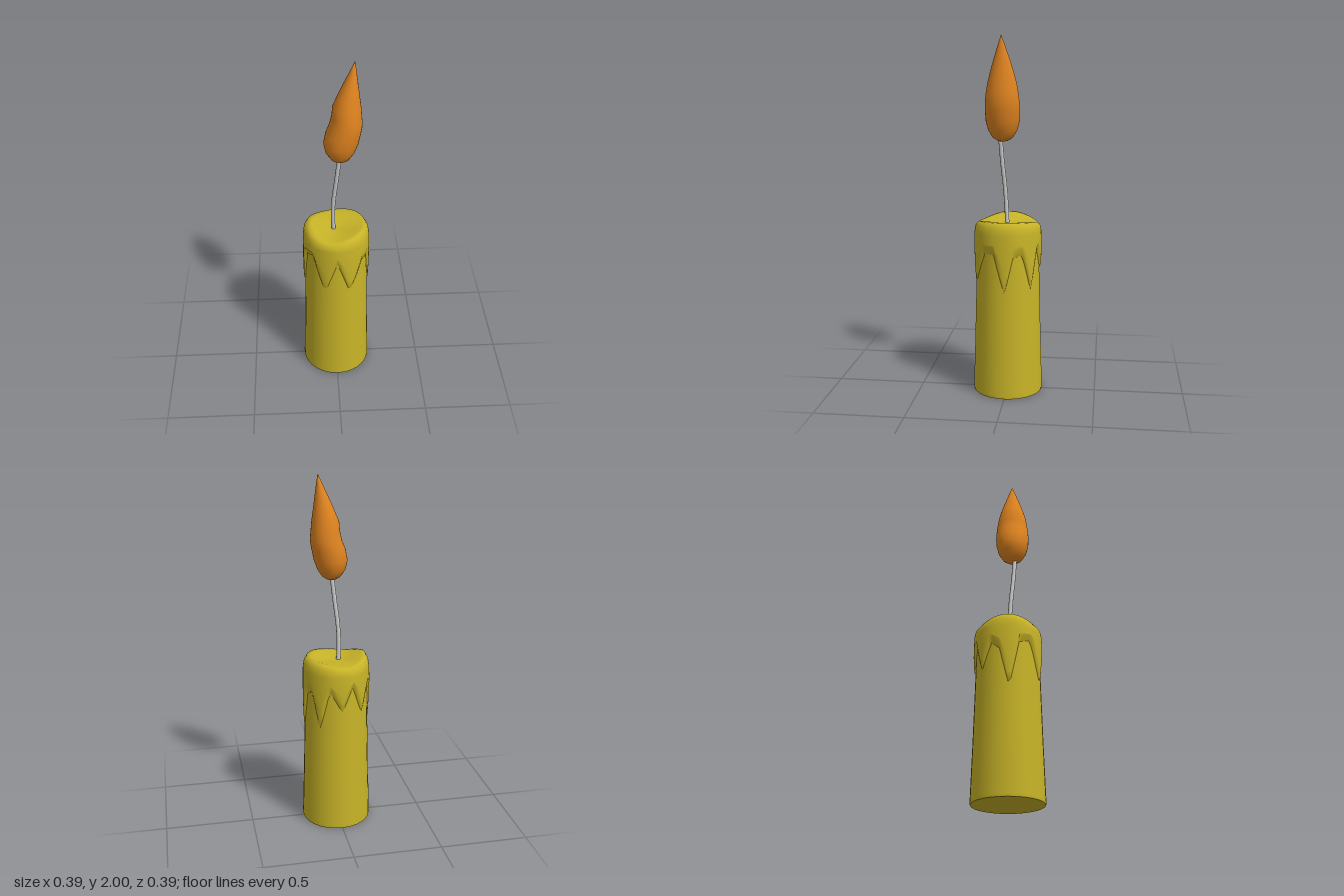
import * as THREE from 'three';

const wax = new THREE.MeshStandardMaterial({ color: 0xc8b428, side: THREE.DoubleSide });
const wickMaterial = new THREE.MeshStandardMaterial({ color: 0xcccccc });
const fire = new THREE.MeshStandardMaterial({ color: 0xe08420 });

// Smooth closed surface through rings: point(row, angle) gives each vertex.
function ringSurface(rows, segments, point) {
  const positions = [], index = [];
  for (let r = 0; r < rows; r++) {
    for (let s = 0; s < segments; s++) positions.push(...point(r, (s / segments) * Math.PI * 2));
  }
  for (let r = 0; r < rows - 1; r++) {
    for (let s = 0; s < segments; s++) {
      const a = r * segments + s, b = r * segments + ((s + 1) % segments);
      index.push(a, b, b + segments, a, b + segments, a + segments);
    }
  }
  const geometry = new THREE.BufferGeometry();
  geometry.setAttribute('position', new THREE.Float32BufferAttribute(positions, 3));
  geometry.setIndex(index);
  geometry.computeVertexNormals();
  return geometry;
}

function addMesh(group, name, geometry, material) {
  const mesh = new THREE.Mesh(geometry, material);
  mesh.name = name;
  group.add(mesh);
}

const bodyRadius = (y) => 0.195 - 0.025 * y;

// Lower edge of the melted wax: [angle in degrees from the front, height]
const DRIPS = [
  [0, 0.84], [22, 0.64], [50, 0.82], [70, 0.82], [90, 0.6], [105, 0.8], [122, 0.82], [140, 0.62],
  [158, 0.84], [180, 0.72], [200, 0.86], [220, 0.7], [240, 0.84], [255, 0.8], [272, 0.58],
  [290, 0.84], [312, 0.86], [338, 0.64], [360, 0.84],
];

function dripEdge(angle) {
  const d = THREE.MathUtils.radToDeg(angle);
  const i = Math.max(1, DRIPS.findIndex(([a]) => a >= d));
  const [a0, y0] = DRIPS[i - 1], [a1, y1] = DRIPS[i];
  return y0 + ((y1 - y0) * (d - a0)) / (a1 - a0);
}

export function createModel() {
  const model = new THREE.Group();
  model.name = 'candle';

  // Tapered candle body and its flat base
  const profile = [[0.195, 0], [0.197, 0.015], [0.188, 0.3], [0.18, 0.6], [0.172, 0.92]];
  addMesh(model, 'candleBody',
    new THREE.LatheGeometry(profile.map(([r, y]) => new THREE.Vector2(r, y)), 28), wax);
  const base = new THREE.CircleGeometry(0.195, 28);
  base.rotateX(Math.PI / 2);
  addMesh(model, 'base', base, wax);

  // Melted wax: dished top, uneven rounded rim, and drips down the sides
  const melted = ringSurface(10, 72, (row, angle) => {
    const edge = dripEdge(angle);
    const rim = 0.012 * Math.cos(2 * angle + Math.PI) + 0.006 * Math.sin(3 * angle);
    const mid = 0.5 * (edge + 0.93);
    const [r, y] = [
      [bodyRadius(edge) - 0.008, edge],
      [bodyRadius(edge) + 0.005, edge + 0.005],
      [0.188, edge + 0.05],
      [0.189, mid],
      [0.187, 0.93],
      [0.181, 0.965 + rim * 0.5],
      [0.165, 0.99 + rim],
      [0.14, 0.99 + rim],
      [0.07, 0.974],
      [0.001, 0.97],
    ][row];
    return [r * Math.sin(angle), y, r * Math.cos(angle)];
  });
  addMesh(model, 'meltedWax', melted, wax);

  // Bent wick
  const wickPath = new THREE.CatmullRomCurve3([
    [-0.013, 0.95, 0.005], [-0.018, 1.05, 0.01], [-0.015, 1.16, 0.017],
    [0, 1.3, 0.03], [0.018, 1.47, 0.042],
  ].map((p) => new THREE.Vector3(...p)));
  addMesh(model, 'wick', new THREE.TubeGeometry(wickPath, 24, 0.012, 10), wickMaterial);

  // Flame cross-sections: [height, centre x, half width x, half depth z]
  const sections = [
    [1.428, 0.022, 0.001, 0.001], [1.433, 0.02, 0.028, 0.028], [1.45, 0.02, 0.052, 0.055],
    [1.49, 0.02, 0.078, 0.08], [1.54, 0.024, 0.092, 0.093], [1.6, 0.036, 0.092, 0.096],
    [1.65, 0.05, 0.086, 0.094], [1.7, 0.053, 0.078, 0.088], [1.75, 0.053, 0.074, 0.079],
    [1.8, 0.06, 0.06, 0.066], [1.86, 0.069, 0.043, 0.048], [1.93, 0.081, 0.022, 0.025],
    [2, 0.092, 0.001, 0.001],
  ];
  addMesh(model, 'flame', ringSurface(sections.length, 32, (row, angle) => {
    const [y, x, w, d] = sections[row];
    return [x + w * Math.sin(angle), y, 0.026 + d * Math.cos(angle)];
  }), fire);

  return model;
}
